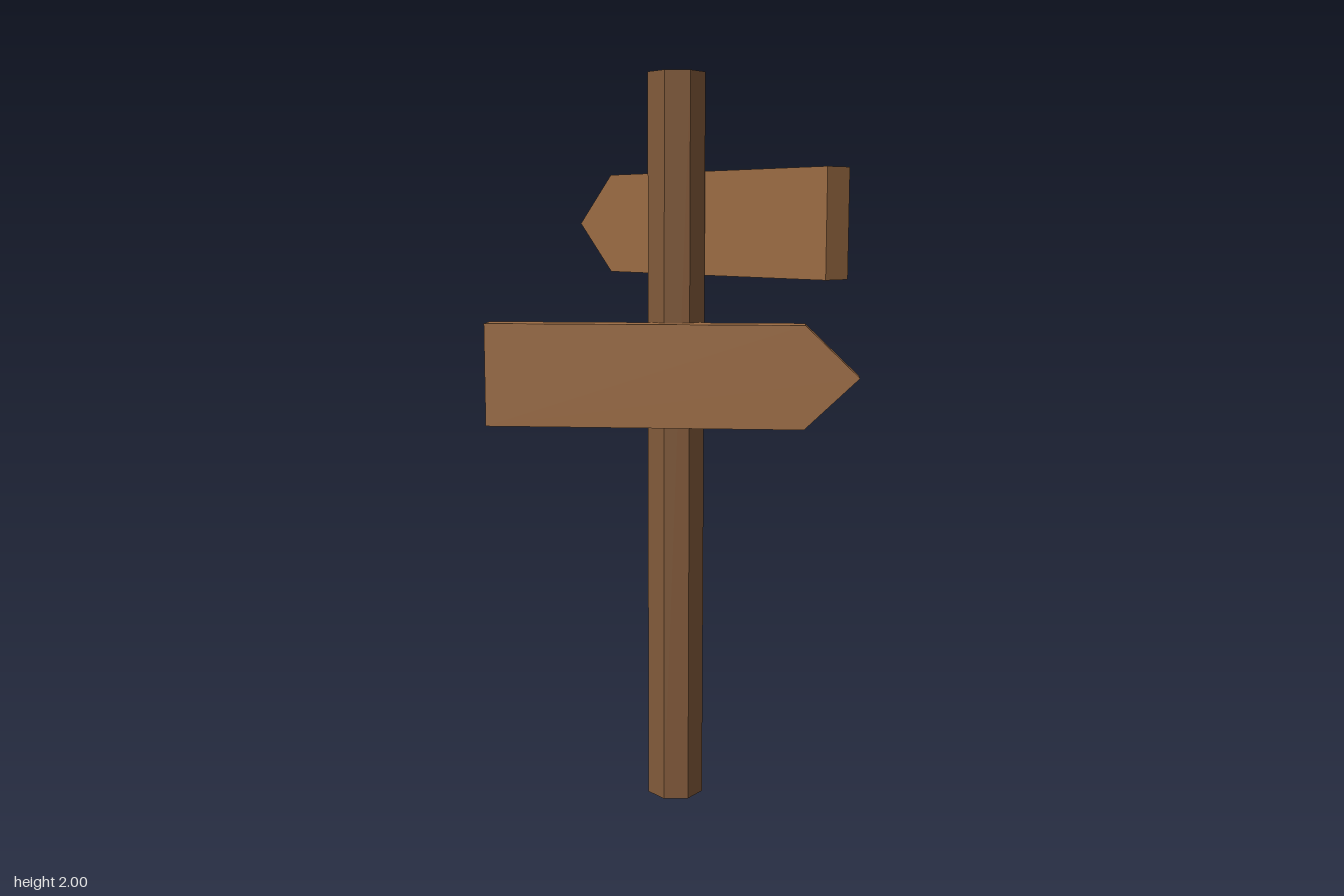
import * as THREE from 'three';

const LENGTH = 1, HEIGHT = 0.277, THICKNESS = 0.08, TIP = 0.145;

// Arrow-shaped plank, centred on its origin and pointing along +x
function createBoard(name, material, position, turn) {
  const x = LENGTH / 2, y = HEIGHT / 2;
  const outline = new THREE.Shape([
    new THREE.Vector2(-x, -y),
    new THREE.Vector2(x - TIP, -y),
    new THREE.Vector2(x, 0),
    new THREE.Vector2(x - TIP, y),
    new THREE.Vector2(-x, y),
  ]);
  const geometry = new THREE.ExtrudeGeometry(outline, { depth: THICKNESS, bevelEnabled: false });
  geometry.translate(0, 0, -THICKNESS / 2);
  const board = new THREE.Mesh(geometry, material);
  board.name = name;
  board.position.set(...position);
  board.rotation.y = turn;
  return board;
}

export function createModel() {
  const group = new THREE.Group();
  group.name = 'signpost';

  const postWood = new THREE.MeshStandardMaterial({ color: 0x825a3a, flatShading: true });
  const boardWood = new THREE.MeshStandardMaterial({ color: 0x9c6c44, flatShading: true });

  // Seven-sided post with one corner facing the back
  const post = new THREE.Mesh(
    new THREE.CylinderGeometry(0.0785, 0.0785, 2, 7, 1, false, Math.PI), postWood);
  post.name = 'post';
  post.position.set(0, 1, -0.0635);
  group.add(post);

  // Upper board behind the post, lower board set diagonally in front
  group.add(
    createBoard('upperBoard', boardWood, [0, 1.604, -0.16], Math.PI),
    createBoard('lowerBoard', boardWood, [0.055, 1.202, -0.001], Math.PI / 4),
  );
  return group;
}
